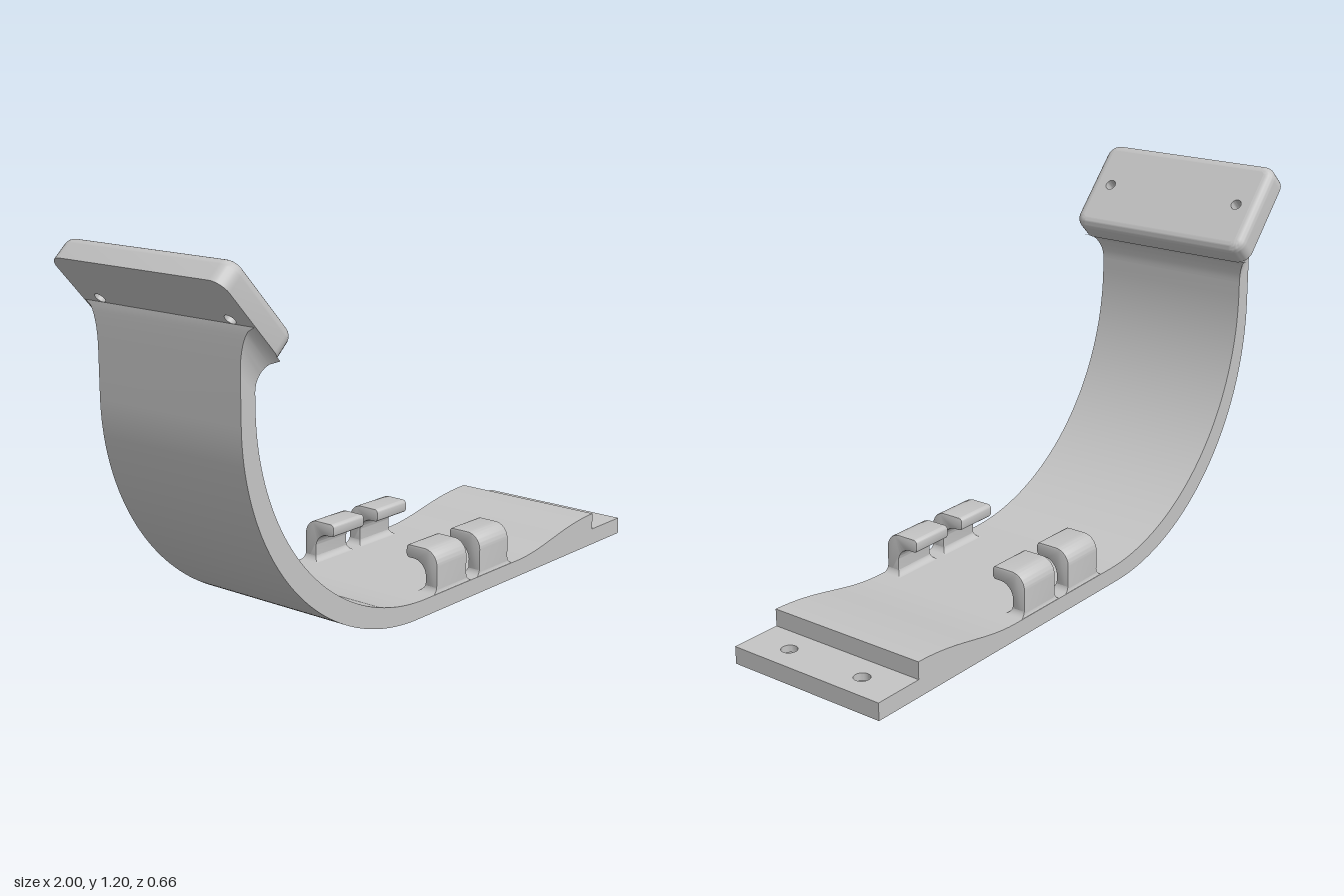
import * as THREE from 'three';
import { toCreasedNormals } from 'three/addons/utils/BufferGeometryUtils.js';

const grey = new THREE.MeshStandardMaterial({ color: 0xc4c4c4 });
grey.name = 'grey';

function part(name, geometry, parent, crease = 0.5) {
  const mesh = new THREE.Mesh(toCreasedNormals(geometry, crease), grey);
  mesh.name = name;
  parent.add(mesh);
  return mesh;
}

// Skin over closed rings, counter-clockwise as seen from the last ring
function loft(rings) {
  const n = rings[0].length, index = [];
  for (let i = 0; i < rings.length - 1; i++) {
    for (let j = 0; j < n; j++) {
      const k = (j + 1) % n;
      const a = i * n + j, b = i * n + k, c = b + n, d = a + n;
      index.push(a, b, c, a, c, d);
    }
  }
  const g = new THREE.BufferGeometry();
  g.setAttribute('position', new THREE.Float32BufferAttribute(rings.flat(2), 3));
  g.setIndex(index);
  return g;
}

function circle(x, y, r, sides) {
  return Array.from({ length: sides }, (_, i) => {
    const a = (i / sides) * Math.PI * 2;
    return new THREE.Vector2(x + r * Math.cos(a), y + r * Math.sin(a));
  });
}

function roundedRect(hx, hy, r) {
  const points = [];
  [[1, 1], [-1, 1], [-1, -1], [1, -1]].forEach(([sx, sy], q) => {
    for (let i = 0; i <= 8; i++) {
      const a = (q + i / 8) * Math.PI / 2;
      points.push(new THREE.Vector2(sx * (hx - r) + r * Math.cos(a), sy * (hy - r) + r * Math.sin(a)));
    }
  });
  return points;
}

// Curved strip, thickest in mid bend, and rising ramp, extruded across the width
function addBody(model) {
  const s = new THREE.Shape();
  s.moveTo(-0.13, 0);
  s.lineTo(0.833, 0);
  s.lineTo(0.833, 0.11);
  s.bezierCurveTo(0.65, 0.108, 0.55, 0.058, 0.4, 0.055);
  s.lineTo(-0.09, 0.055);
  s.absarc(-0.09, 0.79, 0.735, -Math.PI / 2, -Math.PI, true);
  s.lineTo(-0.825, 0.83);
  s.lineTo(-0.88, 0.89);
  s.lineTo(-0.88, 0.75);
  s.absarc(-0.13, 0.75, 0.75, Math.PI, Math.PI * 1.5, false);
  const g = new THREE.ExtrudeGeometry(s, { depth: 0.55, bevelEnabled: false, curveSegments: 40 });
  part('curvedStrip', g.translate(0, 0, -0.275), model);
}

// Flat end with round screw holes above hexagonal nut pockets
function addEndPlate(model) {
  const layer = (name, y, depth, radius, sides) => {
    const s = new THREE.Shape([[0.833, -0.275], [1, -0.275], [1, 0.275], [0.833, 0.275]]
      .map(p => new THREE.Vector2(...p)));
    for (const z of [-0.14, 0.14]) s.holes.push(new THREE.Path(circle(0.917, z, radius, sides)));
    const g = new THREE.ExtrudeGeometry(s, { depth, bevelEnabled: false });
    part(name, g.rotateX(-Math.PI / 2).translate(0, y, 0), model);
  };
  layer('nutPocketLayer', 0, 0.032, 0.045, 6);
  layer('screwHoleLayer', 0.032, 0.023, 0.025, 24);
}

// Neck flaring out to the mounting plate
function addNeck(model) {
  const rings = [];
  for (let i = 0; i <= 10; i++) {
    const t = i / 10, f = 1 - Math.sqrt(1 - t * t), w = 0.275 + 0.05 * f;
    const outer = [-0.88 + 0.004 * f, 0.89 + 0.13 * t];
    const inner = [-0.825 + 0.045 * f, 0.83 + 0.085 * t];
    rings.push([[...inner, w], [...inner, -w], [...outer, -w], [...outer, w]]);
  }
  part('neck', loft(rings), model, 0.7);
}

// Tilted plate: sharp at the back, rounded at the front, two through holes
function addMountingPlate(model) {
  const plate = new THREE.Group();
  plate.name = 'mountingPlate';
  const hx = 0.165, hy = 0.33, thick = 0.085, edge = 0.03;
  const ring = (inset, z) => roundedRect(hx - inset, hy - inset, 0.045 - inset).map(p => [p.x, p.y, z]);
  const rings = [ring(0, 0)];
  for (let i = 0; i <= 8; i++) {
    const a = i / 8 * Math.PI / 2;
    rings.push(ring(edge * (1 - Math.cos(a)), thick - edge + edge * Math.sin(a)));
  }
  part('plateRim', loft(rings), plate);

  const face = inset => {
    const s = new THREE.Shape(roundedRect(hx - inset, hy - inset, 0.045 - inset));
    for (const y of [-0.25, 0.25]) s.holes.push(new THREE.Path(circle(0, y, 0.018, 20)));
    return new THREE.ShapeGeometry(s);
  };
  part('plateFront', face(edge).translate(0, 0, thick), plate);
  part('plateBack', face(0).rotateY(Math.PI), plate);
  for (const y of [-0.25, 0.25]) {
    const wall = z => circle(0, y, 0.018, 20).reverse().map(p => [p.x, p.y, z]);
    part('plateHoleWall', loft([wall(0), wall(thick)]), plate);
  }

  const c = 0.676, s = 0.737;
  const frame = new THREE.Matrix4().makeBasis(
    new THREE.Vector3(c, -s, 0), new THREE.Vector3(0, 0, -1), new THREE.Vector3(s, c, 0));
  plate.quaternion.setFromRotationMatrix(frame);
  plate.position.set(-1 + c * hx, 1.155 - s * hx, 0);
  model.add(plate);
}

// Cable hook reaching inward, with a filleted foot
function makeHook() {
  const hook = new THREE.Group();
  hook.name = 'cableHook';
  const s = new THREE.Shape();
  s.moveTo(0.27, 0.04);
  s.lineTo(0.27, 0.14);
  s.absarc(0.22, 0.14, 0.05, 0, Math.PI / 2, false);
  s.lineTo(0.162, 0.19);
  s.absarc(0.162, 0.177, 0.013, Math.PI / 2, Math.PI, false);
  s.lineTo(0.149, 0.16);
  s.absarc(0.162, 0.16, 0.013, Math.PI, Math.PI * 1.5, false);
  s.lineTo(0.178, 0.147);
  s.absarc(0.178, 0.1, 0.047, Math.PI / 2, 0, true);
  s.lineTo(0.225, 0.04);
  const b = 0.004, width = 0.152;
  const g = new THREE.ExtrudeGeometry(s, {
    depth: width - 2 * b, bevelSize: b, bevelThickness: b, bevelOffset: -b, bevelSegments: 2, curveSegments: 10,
  });
  part('hookArm', g.rotateY(-Math.PI / 2).translate(width / 2 - b, 0, 0), hook);

  const rings = [];
  for (let i = 0; i <= 6; i++) {
    const a = i / 6 * Math.PI / 2, f = 1 - Math.sin(a);
    const y = 0.054 + 0.025 * (1 - Math.cos(a));
    const x = 0.075 + 0.025 * f, z0 = 0.226 - 0.025 * f, z1 = 0.269 + 0.006 * f;
    rings.push([[x, y, z1], [x, y, z0], [-x, y, z0], [-x, y, z1]]);
  }
  part('hookFoot', loft(rings), hook);
  return hook;
}

export function createModel() {
  const model = new THREE.Group();
  model.name = 'curvedBracket';
  addBody(model);
  addEndPlate(model);
  addNeck(model);
  addMountingPlate(model);
  for (const x of [0.048, 0.268]) {
    for (const turn of [0, Math.PI]) {
      const hook = makeHook();
      hook.position.x = x;
      hook.rotation.y = turn;
      model.add(hook);
    }
  }
  return model;
}
